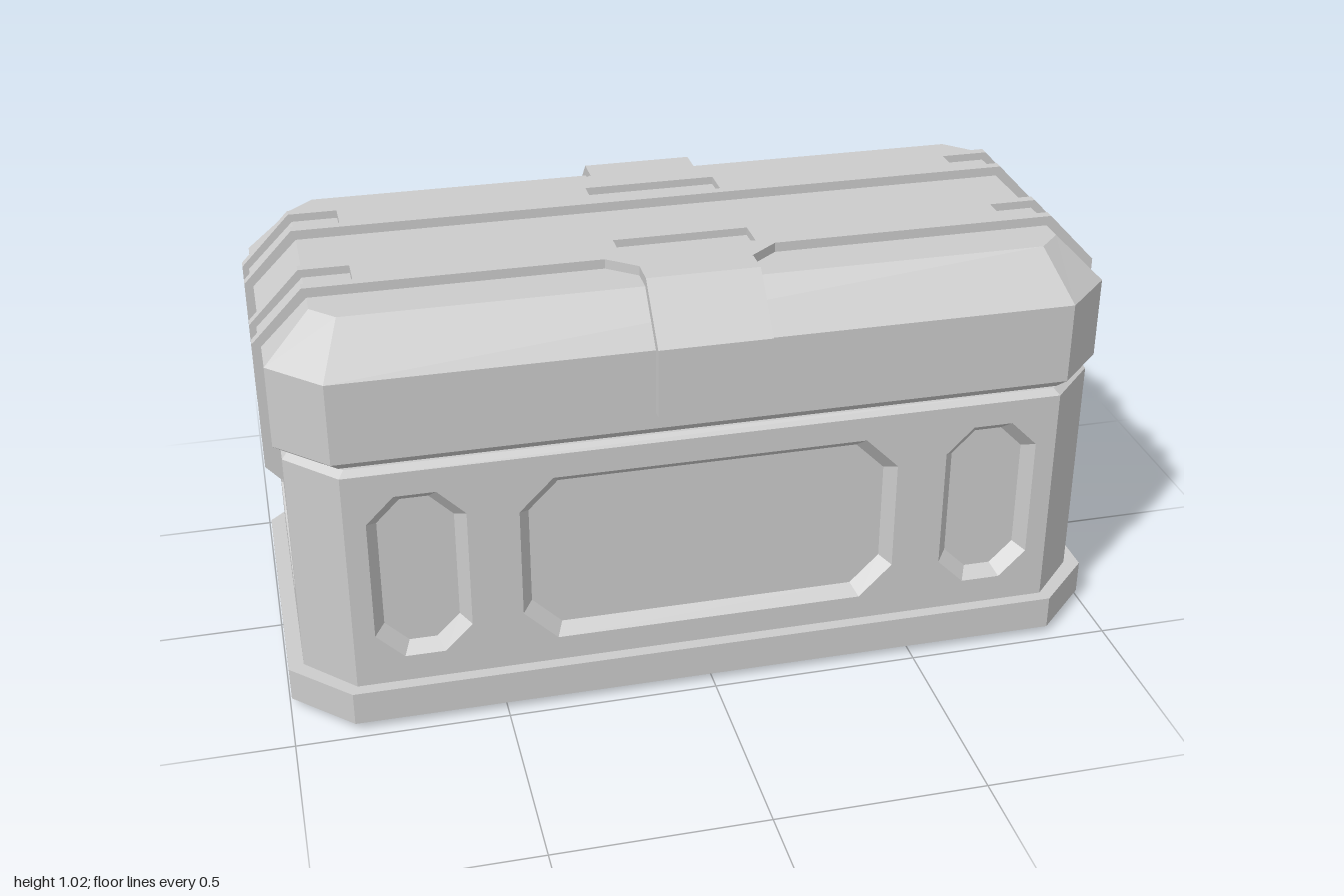
import * as THREE from 'three';
import { mergeGeometries } from 'three/addons/utils/BufferGeometryUtils.js';

const material = new THREE.MeshStandardMaterial({ color: 0xcccccc, flatShading: true });

const toShape = (pts) => new THREE.Shape(pts.map(([x, y]) => new THREE.Vector2(x, y)));

// Chamfered rectangle, counter-clockwise from its lower edge; (a, b) are the chamfer sizes
function octagon(w, h, a, b, cx = 0, cy = 0) {
  return [[a - w, -h], [w - a, -h], [w, b - h], [w, h - b], [w - a, h], [a - w, h], [-w, h - b], [-w, b - h]]
    .map(([x, y]) => [x + cx, y + cy]);
}

// Skin between rings [z, points]; keep(i) chooses which sides are made
function loft(rings, keep = () => true) {
  const pos = [];
  for (let r = 0; r + 1 < rings.length; r++) {
    const [z0, lo] = rings[r], [z1, hi] = rings[r + 1];
    lo.forEach((p, i) => {
      if (!keep(i)) return;
      const j = (i + 1) % lo.length;
      const a = [...p, z0], b = [...lo[j], z0], c = [...hi[j], z1], d = [...hi[i], z1];
      pos.push(...a, ...b, ...c, ...a, ...c, ...d);
    });
  }
  const g = new THREE.BufferGeometry();
  g.setAttribute('position', new THREE.Float32BufferAttribute(pos, 3));
  g.computeVertexNormals();
  return g;
}

// Flat face at height z, optionally with holes or facing down
function face(pts, z, holes = [], down = false) {
  const s = toShape(pts);
  s.holes = holes.map(toShape);
  let g = new THREE.ShapeGeometry(s);
  if (down) g.rotateX(Math.PI).scale(1, 1, 1);
  g = g.toNonIndexed();
  g.deleteAttribute('uv');
  return g.translate(0, 0, z);
}

// Closed solid stacked upwards from horizontal rings [y, points], where a point is (x, -z)
function stack(rings) {
  const [y0, first] = rings[0], [y1, last] = rings[rings.length - 1];
  const flipped = first.map(([x, y]) => [x, -y]);
  return mergeGeometries([loft(rings), face(last, y1), face(flipped, y0, [], true)]).rotateX(-Math.PI / 2);
}

// Wall with bevelled octagonal recesses {x0, x1, y0, y1, c, bevel, depth}
function wall(halfWidth, y0, y1, recesses) {
  const parts = [], holes = [];
  for (const r of recesses) {
    const w = (r.x1 - r.x0) / 2, h = (r.y1 - r.y0) / 2, cx = (r.x0 + r.x1) / 2, cy = (r.y0 + r.y1) / 2;
    const outer = octagon(w, h, r.c, r.c, cx, cy);
    const k = r.c - r.bevel * 0.4;
    const inner = octagon(w - r.bevel, h - r.bevel, k, k, cx, cy);
    holes.push(outer);
    parts.push(loft([[0, outer], [-r.depth, inner]]), face(inner, -r.depth));
  }
  parts.push(face([[-halfWidth, y0], [halfWidth, y0], [halfWidth, y1], [-halfWidth, y1]], 0, holes));
  return mergeGeometries(parts);
}

const extrude = (shape, depth) => new THREE.ExtrudeGeometry(shape, { depth, bevelEnabled: false });

export function createModel() {
  const model = new THREE.Group();
  const add = (name, geometry, parent = model) => {
    const mesh = new THREE.Mesh(geometry, material);
    mesh.name = name;
    parent.add(mesh);
    return mesh;
  };

  // Base plinth, notched at the back below the framed panel
  const notched = (w, d) => {
    const pts = octagon(w, d, 0.137, 0.133);
    pts.splice(5, 0, [0.34, d], [0.34, 0.445], [-0.34, 0.445], [-0.34, d]);
    return pts;
  };
  add('base', stack([[0, notched(0.965, 0.447)], [0.02, notched(0.996, 0.475)], [0.103, notched(0.996, 0.475)]]));

  // Body: four recessed walls and four plain corners
  const bodyRing = octagon(0.96, 0.445, 0.115, 0.118);
  const bottom = 0.1, top = 0.66;
  const sidePockets = [-1, 1].map((s) => {
    const a = s * 0.57, b = s * 0.795;
    return { x0: Math.min(a, b), x1: Math.max(a, b), y0: 0.17, y1: 0.6, c: 0.065, bevel: 0.025, depth: 0.03 };
  });
  const frontPanel = { x0: -0.45, x1: 0.45, y0: 0.165, y1: 0.6, c: 0.08, bevel: 0.025, depth: 0.03 };
  const backPanel = { x0: -0.3, x1: 0.3, y0: 0.14, y1: 0.56, c: 0.065, bevel: 0.02, depth: 0.02 };
  const endPanel = { x0: -0.237, x1: 0.237, y0: 0.205, y1: 0.503, c: 0.07, bevel: 0.021, depth: 0.03 };
  add('frontWall', wall(0.845, bottom, top, [...sidePockets, frontPanel]).translate(0, 0, 0.445));
  add('backWall', wall(0.845, bottom, top, [...sidePockets, backPanel]).translate(0, 0, 0.445).rotateY(Math.PI));
  for (const s of [1, -1]) {
    add(s > 0 ? 'leftWall' : 'rightWall',
      wall(0.327, bottom, top, [endPanel]).translate(0, 0, 0.96).rotateY(s * Math.PI / 2));
  }
  add('bodyCorners', loft([[bottom, bodyRing], [top, bodyRing]], (i) => i % 2 === 1).rotateX(-Math.PI / 2));
  add('bodyRim', stack([[top, bodyRing], [0.674, octagon(0.945, 0.43, 0.112, 0.115)]]));

  // Raised frame around the back panel
  const frame = toShape(octagon(0.34, 0.25, 0.065, 0.077, 0, 0.35));
  frame.holes.push(toShape(octagon(0.3, 0.21, 0.065, 0.065, 0, 0.35)));
  add('backFrame', extrude(frame, 0.017).translate(0, 0, 0.444).rotateY(Math.PI));

  // Lid with bevelled lower edge and sloped shoulders
  const lidRing = octagon(0.978, 0.442, 0.118, 0.115);
  add('lid', stack([
    [0.672, octagon(0.955, 0.42, 0.113, 0.11)], [0.695, lidRing], [0.892, lidRing],
    [1.0, octagon(0.87, 0.337, 0.055, 0.055)],
  ]));

  // Straps running over the lid and down both ends, with slots in their middle strip
  const inside = [[0.998, 0.587], [0.965, 0.55], [0.95, 0.55], [0.95, 0.87], [0.86, 0.97]];
  const plain = [[0.88, 1.023], [0.998, 0.9], ...inside];
  const slotted = [
    [0.16, 1.004], [0.16, 1.023], [0.765, 1.023], [0.765, 1.004], [0.872, 1.004],
    [0.983, 0.893], [0.983, 0.82], [0.998, 0.82], ...inside,
  ];
  const strapShape = (half) => toShape([...half, ...half.map(([x, y]) => [-x, y]).reverse()]);
  const strips = [[plain, 0.1, 0.124], [slotted, 0.124, 0.2], [plain, 0.2, 0.224]];

  // Latch over the lid shoulder, joined to the strap by a flared foot
  const latchShape = toShape([
    [0.28, 1.023], [0.345, 1.023], [0.465, 0.902], [0.465, 0.735],
    [0.43, 0.735], [0.43, 0.88], [0.33, 0.98], [0.28, 0.98],
  ]);
  const flareShape = toShape([[-0.2, -0.224], [-0.13, -0.28], [0.13, -0.28], [0.2, -0.224]]);

  for (const side of ['front', 'back']) {
    const half = new THREE.Group();
    half.name = side + 'Fittings';
    for (const [profile, z0, z1] of strips) {
      add(side + 'Strap', extrude(strapShape(profile), z1 - z0).translate(0, 0, z0), half);
    }
    add(side + 'Latch', extrude(latchShape, 0.264).translate(0, 0, -0.132).rotateY(-Math.PI / 2), half);
    add(side + 'LatchFoot', extrude(flareShape, 0.043).rotateX(-Math.PI / 2).translate(0, 0.98, 0), half);
    if (side === 'back') half.rotation.y = Math.PI;
    model.add(half);
  }
  return model;
}
